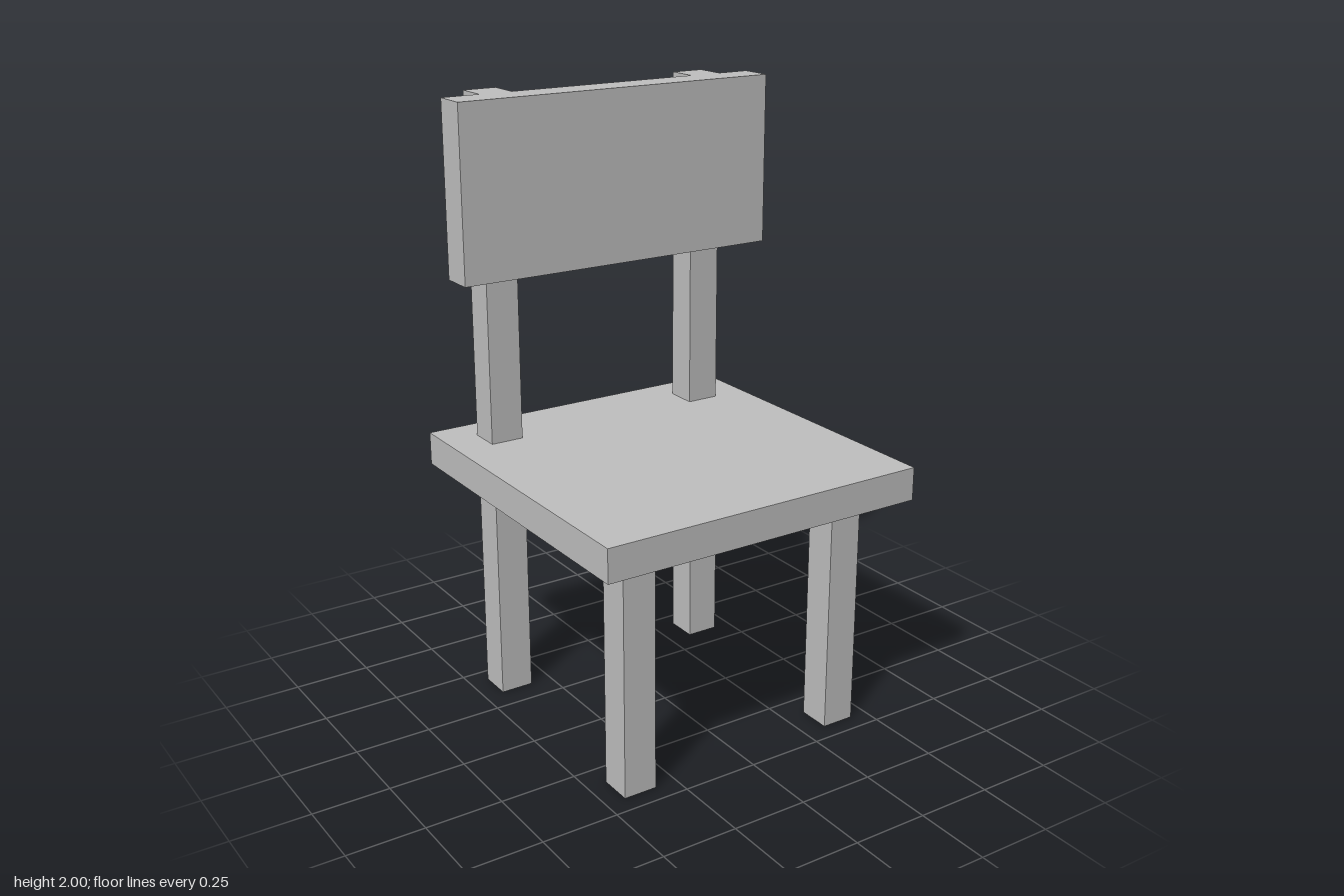
import * as THREE from 'three';

export function createModel() {
  const chair = new THREE.Group();
  chair.name = 'chair';

  const grey = new THREE.MeshStandardMaterial({ color: 0xc0c0c0 });
  grey.name = 'plain grey';

  // Adds a box from its lower and upper corners
  function addBox(name, [x0, y0, z0], [x1, y1, z1]) {
    const mesh = new THREE.Mesh(new THREE.BoxGeometry(x1 - x0, y1 - y0, z1 - z0), grey);
    mesh.position.set((x0 + x1) / 2, (y0 + y1) / 2, (z0 + z1) / 2);
    mesh.name = name;
    chair.add(mesh);
  }

  const seatBottom = 0.782, seatTop = 0.89;

  addBox('seat', [-0.553, seatBottom, -0.555], [0.555, seatTop, 0.553]);

  // Legs below the seat and back posts above it, one set per side
  for (const [side, x0, x1] of [['right', -0.434, -0.324], ['left', 0.33, 0.44]]) {
    addBox(side + 'FrontLeg', [x0, 0, 0.33], [x1, seatBottom, 0.44]);
    addBox(side + 'BackLeg', [x0, 0, -0.445], [x1, seatBottom, -0.335]);
    addBox(side + 'BackPost', [x0, seatTop, -0.45], [x1, 2, -0.345]);
  }

  // Backrest board in front of the posts
  addBox('backrest', [-0.56, 1.45, -0.345], [0.548, 2, -0.236]);

  return chair;
}
